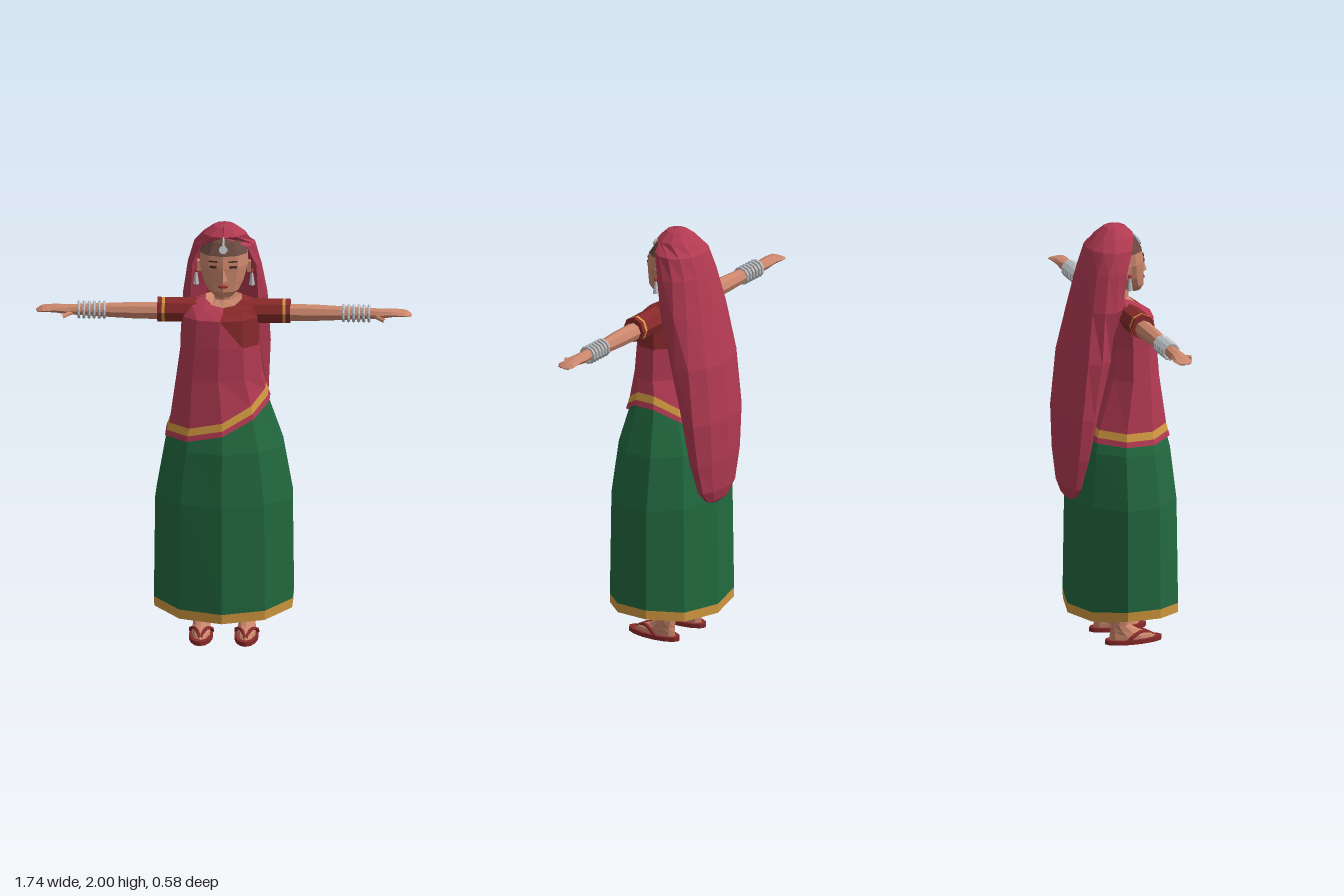
import * as THREE from 'three';

const mat = (name, color, side = THREE.FrontSide) => {
  const m = new THREE.MeshStandardMaterial({ color, flatShading: true, side });
  m.name = name;
  return m;
};

// One horizontal ring of points: [y, rx, rz, cx, cz]; dy bends the height by angle
function ring([y, rx, rz, cx = 0, cz = 0], n = 10, dy = () => 0, open = 0) {
  const pts = [], count = open ? n + 1 : n;
  for (let i = 0; i < count; i++) {
    const t = open ? open + (i / n) * (Math.PI * 2 - 2 * open) : (i / n) * Math.PI * 2;
    pts.push([cx + rx * Math.sin(t), y + dy(t), cz + rz * Math.cos(t)]);
  }
  return pts;
}

// Skin rising rings; pick(row, column, triangle) chooses the material index
function loft(name, rows, mats, pick = () => 0, closed = true) {
  const list = Array.isArray(mats) ? mats : [mats];
  const buckets = list.map(() => []);
  const n = rows[0].length;
  for (let j = 0; j < rows.length - 1; j++) {
    for (let i = 0; i < (closed ? n : n - 1); i++) {
      const k = (i + 1) % n;
      const a = rows[j][i], b = rows[j][k], c = rows[j + 1][k], d = rows[j + 1][i];
      buckets[pick(j, i, 0)].push(...a, ...b, ...d);
      buckets[pick(j, i, 1)].push(...b, ...c, ...d);
    }
  }
  const g = new THREE.BufferGeometry();
  g.setAttribute('position', new THREE.Float32BufferAttribute(buckets.flat(), 3));
  let start = 0;
  buckets.forEach((b, i) => { g.addGroup(start, b.length / 3, i); start += b.length / 3; });
  g.computeVertexNormals();
  const mesh = new THREE.Mesh(g, list);
  mesh.name = name;
  return mesh;
}

export function createModel() {
  const D = THREE.DoubleSide;
  const pink = mat('rose cloth', 0xb23a52, D), green = mat('green cloth', 0x22693f, D);
  const gold = mat('gold trim', 0xd0973f, D), red = mat('dark red cloth', 0x88292a, D);
  const skin = mat('skin', 0xcb876d), hair = mat('hair', 0x67483f);
  const silver = mat('silver', 0xbcc0c4), dark = mat('eye brown', 0x4a2c24);
  const lipRed = mat('lip red', 0xa8383a);

  const model = new THREE.Group();
  model.name = 'woman';
  const add = (name, geo, m, x, y, z, parent = model) => {
    const mesh = new THREE.Mesh(geo, m);
    mesh.name = name;
    mesh.position.set(x, y, z);
    parent.add(mesh);
    return mesh;
  };
  const tube = (pts, r, seg = 6) => new THREE.TubeGeometry(
    new THREE.CatmullRomCurve3(pts.map(p => new THREE.Vector3(...p))), seg, r, 6);

  // Skirt with gold hem and turned-in rim
  const hem = t => -0.04 * Math.abs(Math.cos(t));
  model.add(loft('skirt', [
    ring([0.195, 0.285, 0.215, 0, 0.03], 10, hem),
    ring([0.18, 0.335, 0.26, 0, 0.03], 10, hem),
    ring([0.225, 0.337, 0.261, 0, 0.03], 10, hem),
    ring([0.70, 0.331, 0.253, 0, 0.03]),
    ring([0.95, 0.285, 0.225, 0, 0.03]),
    ring([1.20, 0.198, 0.143, 0, 0.04]),
  ], [green, gold], j => (j < 2 ? 1 : 0)));

  // Wrap around the waist, with a slanted hem and gold stripe
  const wrapRow = up => ring([0, 1, 1]).map((p, i) => {
    const t = i / 10 * Math.PI * 2, s = Math.sin(t);
    const y = 1.035 + 0.09 * s + 0.05 * s * s + up, h = y - 0.95;
    return [s * (0.299 - 0.348 * h), y, 0.03 + 0.04 * h + Math.cos(t) * (0.239 - 0.326 * h)];
  });
  const bust = [1.44, 0.188, 0.125, -0.018, 0.06];
  model.add(loft('waistWrap', [
    wrapRow(0), wrapRow(0.025), wrapRow(0.06),
    ring([1.29, 0.207, 0.138, -0.02, 0.057]), ring(bust),
  ], [pink, gold], j => (j === 1 ? 1 : 0)));

  // Blouse, with the wrap carried over one shoulder
  const dip = d => t => -d * Math.max(0, Math.cos(t));
  const collar = ring([1.66, 0.088, 0.06, 0, 0.035], 10, dip(0.045));
  model.add(loft('blouse', [
    ring(bust),
    ring([1.57, 0.18, 0.115, -0.014, 0.055]),
    ring([1.635, 0.155, 0.085, 0, 0.04], 10, dip(0.035)),
    collar,
  ], [red, pink], (j, i, k) => (i >= 5 || (j === 0 && i === 0 && k === 0) ? 1 : 0)));

  // Neck
  model.add(loft('neck', [
    collar, ring([1.645, 0.046, 0.042, 0, 0.025]), ring([1.73, 0.04, 0.04, 0, 0.03]),
  ], skin));

  // Head with hair on the crown and back
  model.add(loft('head', [
    ring([1.672, 0.002, 0.002, 0, 0.085]),
    ring([1.675, 0.04, 0.042, 0, 0.085]),
    ring([1.705, 0.073, 0.068, 0, 0.073]),
    ring([1.75, 0.097, 0.09, 0, 0.05]),
    ring([1.82, 0.117, 0.105, 0, 0.035]),
    ring([1.875, 0.114, 0.1, 0, 0.032]),
    ring([1.93, 0.08, 0.075, 0, 0.02]),
    ring([1.952, 0.002, 0.002, 0, 0.01]),
  ], [skin, hair], (j, i) => (j >= 5 || (j >= 3 && i > 2 && i < 7) ? 1 : 0)));

  // Face
  add('nose', new THREE.ConeGeometry(0.022, 0.065, 4), skin, 0, 1.793, 0.138);
  add('lips', new THREE.SphereGeometry(1, 8, 6).scale(0.025, 0.009, 0.01), lipRed, 0, 1.733, 0.137);
  for (const s of [-1, 1]) {
    const eye = add('eye', new THREE.BoxGeometry(0.034, 0.011, 0.008), dark, s * 0.046, 1.825, 0.127);
    const brow = add('brow', new THREE.BoxGeometry(0.042, 0.006, 0.008), dark, s * 0.046, 1.85, 0.124);
    eye.rotation.y = brow.rotation.y = s * 0.29;
    add('ear', new THREE.BoxGeometry(0.018, 0.05, 0.03), skin, s * 0.116, 1.8, 0.025);
    add('earStud', new THREE.SphereGeometry(0.01, 6, 5), lipRed, s * 0.128, 1.777, 0.03);
    add('earring', new THREE.CylinderGeometry(0.005, 0.014, 0.06, 8), silver, s * 0.129, 1.74, 0.03);
  }

  // Forehead jewel on a chain
  const jewel = add('foreheadJewel', new THREE.CylinderGeometry(0.02, 0.02, 0.009, 10), silver, 0, 1.905, 0.118);
  jewel.rotation.x = 1.2;
  add('jewelChain', tube([[0, 1.91, 0.113], [0, 1.935, 0.098], [0, 1.953, 0.078]], 0.005), silver, 0, 0, 0);

  // Veil: open at the face, hanging down the back; last value is the opening angle
  const veilRings = [
    [0.698, 0.03, 0.008, -0.225, 0.02], [0.715, 0.085, 0.025, -0.225, 0.02],
    [0.77, 0.135, 0.045, -0.223, 0.02], [0.92, 0.178, 0.07, -0.213, 0.02],
    [1.12, 0.205, 0.092, -0.197, 0.05], [1.39, 0.211, 0.115, -0.15, 0.3],
    [1.63, 0.2, 0.12, -0.09, 0.9], [1.8, 0.171, 0.12, -0.05, 1.05],
    [1.9, 0.143, 0.115, -0.025, 0.85], [1.953, 0.1, 0.09, -0.002, 0.02],
    [1.99, 0.05, 0.05, 0, 0.02], [2.0, 0.002, 0.002, 0, 0.02],
  ];
  model.add(loft('veil', veilRings.map(([y, rx, rz, cz, a]) =>
    ring([y, rx, rz, 0, cz], 10, undefined, a)), pink, undefined, false));

  for (const s of [-1, 1]) {
    // Arm, built upright and laid outwards
    const arm = new THREE.Group();
    arm.name = s > 0 ? 'leftArm' : 'rightArm';
    arm.position.set(0, 1.577, 0.03);
    arm.rotation.z = -s * Math.PI / 2;
    model.add(arm);
    arm.add(loft('armAndHand', [
      [0.2, 0.043, 0.042], [0.42, 0.04, 0.04], [0.68, 0.027, 0.03], [0.725, 0.024, 0.034],
      [0.78, 0.018, 0.038, -s * 0.005], [0.84, 0.011, 0.045, -s * 0.003, -0.002],
      [0.86, 0.007, 0.033, s * 0.003], [0.87, 0.001, 0.004, s * 0.003],
    ].map(r => ring(r, 8)), skin));
    add('thumb', tube([[s * 0.01, 0.705, 0.02], [s * 0.014, 0.735, 0.052], [s * 0.014, 0.75, 0.075]], 0.011),
      skin, 0, 0, 0, arm);
    // Sleeve with gold stripe and a closed cuff
    const sx = -s * 0.007;
    arm.add(loft('sleeve', [
      [0.1, 0.06, 0.058, sx], [0.272, 0.06, 0.056, sx], [0.286, 0.06, 0.056, sx],
      [0.307, 0.06, 0.056, sx], [0.307, 0.036, 0.036],
    ].map(r => ring(r, 8)), [red, gold], j => (j === 1 ? 1 : 0)));
    // Bangles
    for (let i = 0; i < 6; i++) {
      add('bangle', new THREE.TorusGeometry(0.037, 0.0075, 6, 10), silver, 0, 0.553 + i * 0.0235, 0, arm)
        .rotation.x = Math.PI / 2;
    }

    // Leg and foot
    const leg = new THREE.Group();
    leg.name = s > 0 ? 'leftLeg' : 'rightLeg';
    leg.position.x = s * 0.105;
    model.add(leg);
    leg.add(loft('legAndFoot', [
      [0.018, 0.044, 0.115, 0, 0.05], [0.036, 0.044, 0.105, 0, 0.042], [0.06, 0.041, 0.068, 0, 0.01],
      [0.09, 0.041, 0.045, 0, -0.013], [0.18, 0.049, 0.047, 0, -0.013], [0.5, 0.06, 0.06, 0, -0.01],
    ].map(r => ring(r, 10)), skin));
    // Sandal
    add('sole', new THREE.CylinderGeometry(1, 1, 0.02, 14).scale(0.056, 1, 0.14), red, 0, 0.01, 0.055, leg);
    for (const k of [-1, 1]) {
      add('sandalStrap', tube([[0, 0.025, 0.15], [k * 0.022, 0.05, 0.092], [k * 0.048, 0.035, 0.035],
        [k * 0.05, 0.016, 0.01]], 0.009), red, 0, 0, 0, leg);
    }
  }
  return model;
}
